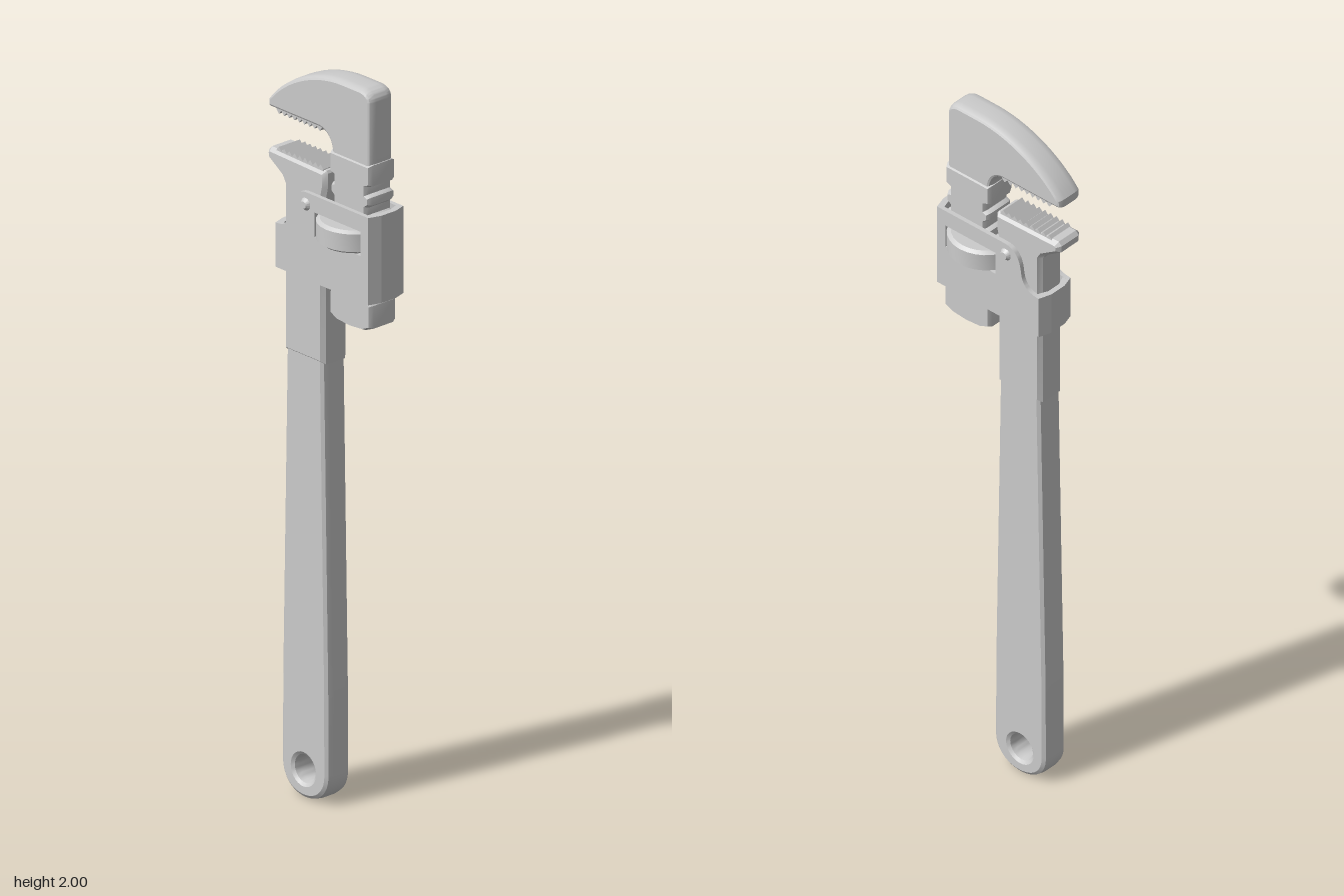
import * as THREE from 'three';
import { toCreasedNormals } from 'three/addons/utils/BufferGeometryUtils.js';

const grey = new THREE.MeshStandardMaterial({ color: 0xcccccc });

function add(parent, name, geometry) {
  const mesh = new THREE.Mesh(geometry, grey);
  mesh.name = name;
  parent.add(mesh);
  return mesh;
}

const polygon = (points) => new THREE.Shape(points.map(([x, y]) => new THREE.Vector2(x, y)));

// Extrusion centred on z = 0; the bevel stays inside the outline.
function slab(shape, halfDepth, size = 0, thickness = size, segments = 1) {
  const depth = 2 * (halfDepth - thickness);
  const geometry = new THREE.ExtrudeGeometry(shape, {
    depth, bevelEnabled: size > 0, bevelSize: size, bevelOffset: -size,
    bevelThickness: thickness, bevelSegments: segments, curveSegments: 14,
  });
  geometry.translate(0, 0, -depth / 2);
  return toCreasedNormals(geometry, 0.5);
}

// Plan outline of (x, z) points raised between two heights.
function upright(points, y0, y1) {
  const shape = polygon(points.map(([x, z]) => [x, -z]));
  const geometry = new THREE.ExtrudeGeometry(shape, { depth: y1 - y0, bevelEnabled: false });
  return geometry.rotateX(-Math.PI / 2).translate(0, y0, 0);
}

// Row of triangular teeth running across the jaw; dir is +1 up or -1 down.
function teeth(x0, x1, y, dir, count) {
  const points = [[x0, y - dir * 0.012]];
  const step = (x1 - x0) / count;
  for (let i = 0; i < count; i++) {
    points.push([x0 + i * step, y], [x0 + (i + 0.5) * step, y + dir * 0.011]);
  }
  points.push([x1, y], [x1, y - dir * 0.012]);
  return slab(polygon(points), 0.036);
}

export function createModel() {
  const wrench = new THREE.Group();
  wrench.name = 'pipeWrench';

  // Tapered grip with a hanging hole
  const grip = new THREE.Shape();
  grip.moveTo(-0.138, 1.225);
  grip.lineTo(-0.155, 0.32);
  grip.lineTo(-0.156, 0.085);
  grip.bezierCurveTo(-0.156, 0.03, -0.115, 0, -0.068, 0);
  grip.bezierCurveTo(-0.02, 0, 0.02, 0.03, 0.02, 0.085);
  grip.lineTo(0.019, 0.32);
  grip.lineTo(0.003, 1.225);
  const hole = new THREE.Path();
  hole.absarc(-0.07, 0.08, 0.035, 0, Math.PI * 2, true);
  grip.holes.push(hole);
  add(wrench, 'grip', slab(grip, 0.04, 0.012, 0.022, 2));

  // Neck rising through the housing into the fixed jaw
  const lower = polygon([
    [-0.141, 1.205], [0.006, 1.205], [0.006, 1.66], [0.013, 1.69], [0.013, 1.728],
    [0.008, 1.735], [-0.195, 1.74], [-0.205, 1.73], [-0.203, 1.71], [-0.15, 1.675], [-0.141, 1.66],
  ]);
  add(wrench, 'neckAndFixedJaw', slab(lower, 0.044, 0.01, 0.012));
  add(wrench, 'fixedJawTeeth', teeth(-0.175, 0.0, 1.737, 1, 9));

  // Hooked moving jaw
  const hook = new THREE.Shape();
  hook.moveTo(-0.205, 1.85);
  hook.lineTo(-0.204, 1.872);
  hook.bezierCurveTo(-0.15, 1.94, -0.04, 2, 0.075, 2);
  hook.lineTo(0.14, 2);
  hook.quadraticCurveTo(0.178, 1.997, 0.178, 1.965);
  hook.lineTo(0.178, 1.78);
  hook.lineTo(0.034, 1.78);
  hook.quadraticCurveTo(0.034, 1.842, -0.012, 1.847);
  hook.lineTo(-0.195, 1.847);
  add(wrench, 'hookJaw', slab(hook, 0.04, 0.01, 0.022, 3));
  add(wrench, 'hookJawTeeth', teeth(-0.175, -0.005, 1.849, -1, 9));

  // Shank with thread notches cut into both edges
  const left = [[0.03, 1.802], [0.03, 1.745]];
  const right = [[0.181, 1.802], [0.181, 1.745]];
  for (let i = 0; i < 6; i++) {
    const y = 1.745 - i * 0.056;
    left.push([0.046, y - 0.006], [0.046, y - 0.026]);
    right.push([0.166, y - 0.006], [0.166, y - 0.026]);
    if (i < 5) {
      left.push([0.034, y - 0.031], [0.034, y - 0.053]);
      right.push([0.178, y - 0.031], [0.178, y - 0.053]);
    }
  }
  left.push([0.03, 1.42], [0.03, 1.358], [0.06, 1.345]);
  right.push([0.184, 1.42], [0.184, 1.358], [0.154, 1.345]);
  const shank = polygon([...left, [0.107, 1.341], ...right.reverse()]);
  add(wrench, 'threadedShank', slab(shank, 0.045, 0.006, 0.012));

  // Adjusting nut with chamfered rims
  const nutProfile = [[0.001, -0.031], [0.09, -0.031], [0.1, -0.024],
    [0.1, 0.024], [0.09, 0.031], [0.001, 0.031]].map(([x, y]) => new THREE.Vector2(x, y));
  const nut = new THREE.LatheGeometry(nutProfile, 28).toNonIndexed();
  add(wrench, 'adjustingNut', toCreasedNormals(nut, 0.5)).position.set(0.08, 1.591, 0);

  // Housing: front and back plates with nut windows and a rounded ear
  const housing = new THREE.Group();
  housing.name = 'housing';
  wrench.add(housing);
  const plate = new THREE.Shape();
  plate.moveTo(-0.152, 1.432);
  plate.lineTo(0.193, 1.432);
  plate.lineTo(0.193, 1.67);
  plate.lineTo(-0.035, 1.67);
  plate.bezierCurveTo(-0.075, 1.67, -0.088, 1.64, -0.092, 1.605);
  plate.bezierCurveTo(-0.096, 1.57, -0.115, 1.553, -0.152, 1.553);
  plate.holes.push(new THREE.Path([[-0.006, 1.558], [-0.006, 1.624], [0.164, 1.624], [0.164, 1.558]]
    .map(([x, y]) => new THREE.Vector2(x, y))));
  for (const side of [1, -1]) {
    add(housing, side > 0 ? 'frontPlate' : 'backPlate', slab(plate, 0.006)).position.z = side * 0.054;
  }

  // Bent walls joining the plates
  add(housing, 'leftWall', upright([
    [0.193, 0.06], [0.204, 0.025], [0.204, -0.025], [0.193, -0.06],
    [0.178, -0.05], [0.188, -0.02], [0.188, 0.02], [0.178, 0.05],
  ], 1.432, 1.67));
  add(housing, 'rightWall', upright([
    [-0.152, 0.06], [-0.135, 0.05], [-0.148, 0.02], [-0.148, -0.02],
    [-0.135, -0.05], [-0.152, -0.06], [-0.163, -0.025], [-0.163, 0.025],
  ], 1.432, 1.553));

  // Rivet through both ears
  const rivetProfile = [[0.001, -0.07], [0.01, -0.069], [0.017, -0.06],
    [0.017, 0.06], [0.01, 0.069], [0.001, 0.07]].map(([x, y]) => new THREE.Vector2(x, y));
  const rivet = new THREE.LatheGeometry(rivetProfile, 16).rotateX(Math.PI / 2);
  add(housing, 'rivet', toCreasedNormals(rivet, 0.6)).position.set(-0.04, 1.637, 0);

  return wrench;
}
